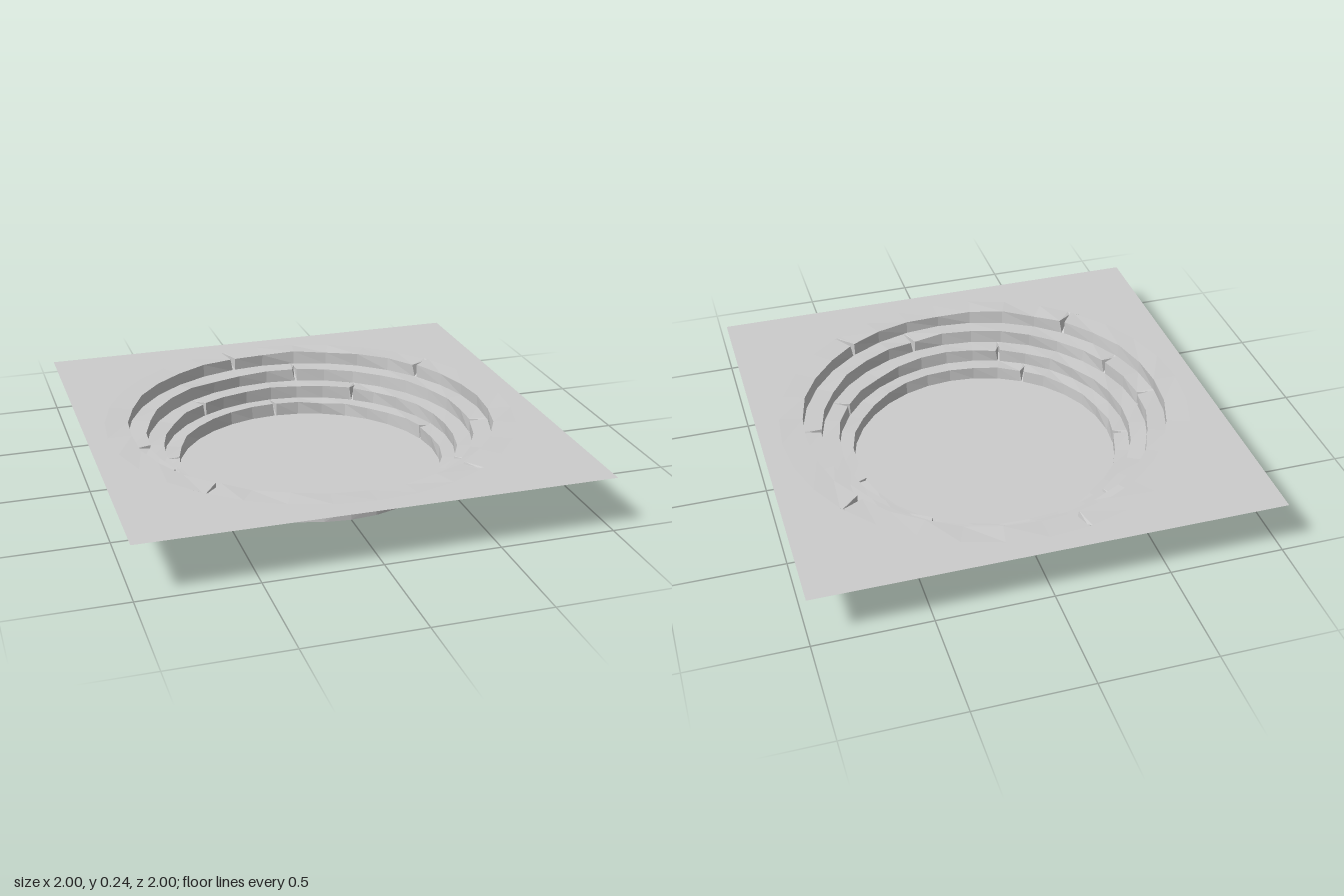
import * as THREE from 'three';

const SIDES = 32, STEP = 360 / SIDES;
const GROUND_Y = 0.24, RIM_R = 0.91;

// Each tier: wall radius, wall bottom, lip height, outer radius of its tread, crack angles (degrees) and crack depth
const TIERS = [
  { r: 0.59, y0: 0.0, y1: 0.06, out: 0.655, cracks: [124, 190, 270, 348], depth: 0.05 },
  { r: 0.655, y0: 0.06, y1: 0.12, out: 0.73, cracks: [34, 112, 237, 305], depth: 0.055 },
  { r: 0.73, y0: 0.12, y1: 0.18, out: 0.81, cracks: [10, 78, 157, 180, 281], depth: 0.06 },
  { r: 0.81, y0: 0.18, y1: GROUND_Y, out: RIM_R, cracks: [56, 134, 259, 326], depth: 0.085 },
];

const material = new THREE.MeshStandardMaterial({
  color: 0xcccccc, flatShading: true, side: THREE.DoubleSide,
});

function seeded(seed) {
  let s = seed;
  return () => (s = (s * 16807) % 2147483647) / 2147483647;
}

// Point on a regular polygon of SIDES corners
function polygonPoint(deg, r, y) {
  const fromMid = (((deg % STEP) + STEP) % STEP) - STEP / 2;
  const rad = THREE.MathUtils.degToRad;
  const d = r * Math.cos(Math.PI / SIDES) / Math.cos(rad(fromMid));
  return [d * Math.cos(rad(deg)), y, d * Math.sin(rad(deg))];
}

// Closed band between two loops of points
function band(lower, upper) {
  const n = lower.length, index = [];
  for (let i = 0; i < n; i++) {
    const j = (i + 1) % n;
    index.push(i, j, n + i, j, n + j, n + i);
  }
  const g = new THREE.BufferGeometry();
  g.setAttribute('position', new THREE.Float32BufferAttribute([...lower, ...upper].flat(), 3));
  g.setIndex(index);
  g.computeVertexNormals();
  return g;
}

// Column angles: polygon corners plus three columns for every crack
function columns(cracks) {
  const list = [];
  for (let i = 0; i < SIDES; i++) {
    const deg = i * STEP;
    if (!cracks.some(c => Math.abs(c - deg) < 1.3)) list.push({ deg, notch: false });
  }
  for (const c of cracks) {
    list.push({ deg: c - 0.9, notch: false }, { deg: c, notch: true }, { deg: c + 0.9, notch: false });
  }
  return list.sort((a, b) => a.deg - b.deg);
}

export function createModel() {
  const model = new THREE.Group();
  model.name = 'sunkenPit';
  const add = (name, geometry, parent = model) => {
    const mesh = new THREE.Mesh(geometry, material);
    mesh.name = name;
    parent.add(mesh);
    return mesh;
  };

  // Floor of the pit
  add('floor', new THREE.CircleGeometry(TIERS[0].r, SIDES).rotateX(-Math.PI / 2));

  // Stepped stone rings with worn lips and wedge-shaped cracks
  TIERS.forEach((t, k) => {
    const random = seeded(71 + k * 137);
    const ring = new THREE.Group();
    ring.name = 'step' + (k + 1);
    model.add(ring);
    const foot = [], lip = [], back = [];
    for (const { deg, notch } of columns(t.cracks)) {
      const dr = (random() - 0.5) * 0.012, dy = (random() - 0.5) * 0.009;
      foot.push(polygonPoint(deg, t.r, t.y0));
      lip.push(polygonPoint(deg, t.r + (notch ? t.depth : dr), t.y1 + (notch ? -0.004 : dy)));
      back.push(polygonPoint(deg, t.out, t.y1));
    }
    add('wall', band(foot, lip), ring);
    add(k === TIERS.length - 1 ? 'wornRim' : 'tread', band(lip, back).scale(1, 1, 1), ring);
  });

  // Square ground sheet around the pit
  const sheet = new THREE.Shape([[-1, -1], [1, -1], [1, 1], [-1, 1]].map(p => new THREE.Vector2(...p)));
  const hole = [];
  for (let i = 0; i < SIDES; i++) {
    const [x, , z] = polygonPoint(i * STEP, RIM_R, 0);
    hole.push(new THREE.Vector2(x, z));
  }
  sheet.holes.push(new THREE.Path(hole));
  const ground = add('ground', new THREE.ShapeGeometry(sheet).rotateX(-Math.PI / 2));
  ground.position.y = GROUND_Y;

  return model;
}
